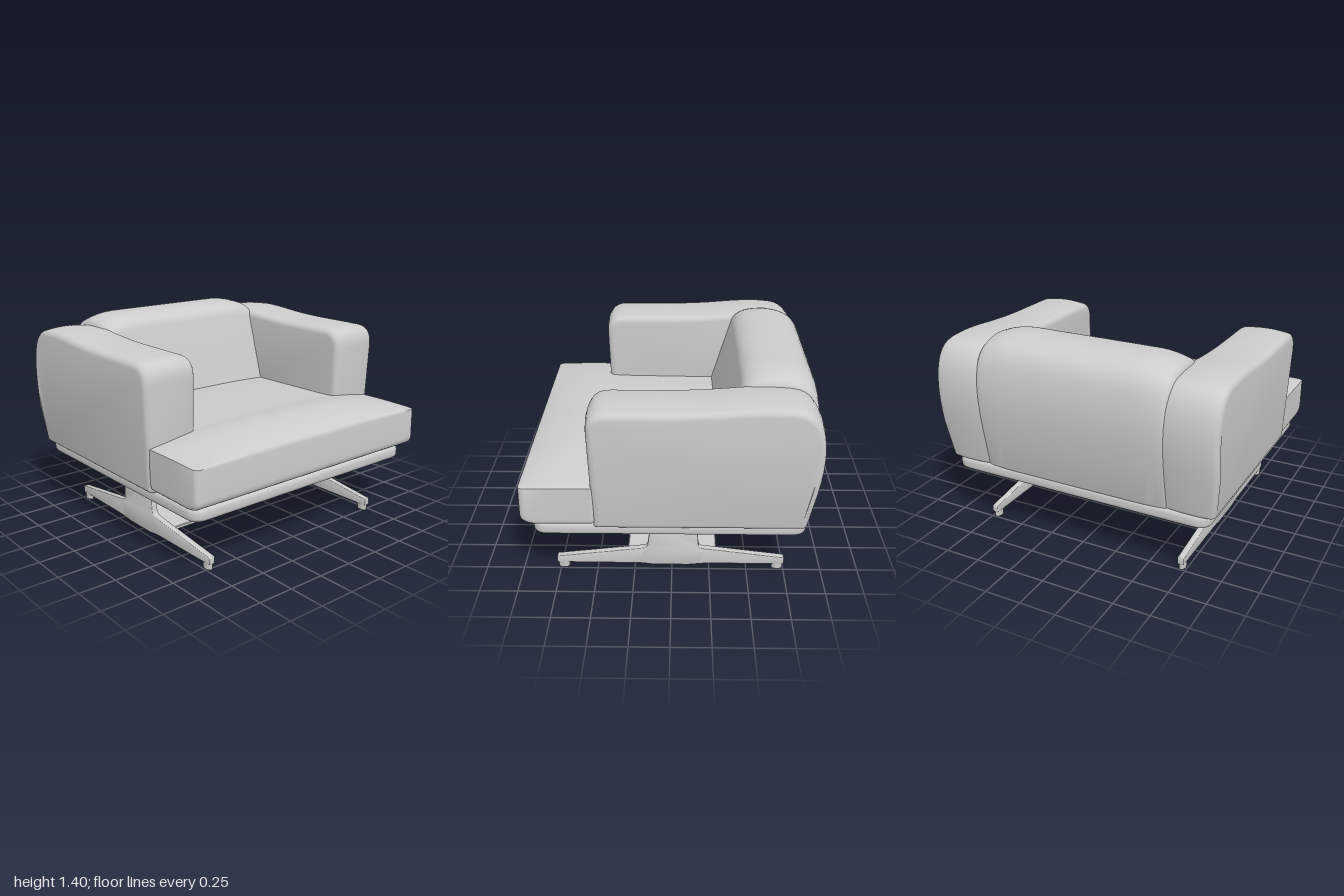
import * as THREE from 'three';
import { toCreasedNormals } from 'three/addons/utils/BufferGeometryUtils.js';

const grey = new THREE.MeshStandardMaterial({ color: 0xcccccc });
grey.name = 'light grey';

// Closed outline through corners [a, b, radius], each corner rounded
function roundedShape(pts) {
  const shape = new THREE.Shape();
  const n = pts.length;
  pts.forEach(([a, b, r = 0.03], i) => {
    const p = new THREE.Vector2(a, b);
    const toward = (q) => {
      const d = new THREE.Vector2(q[0], q[1]).sub(p);
      return d.clone().setLength(Math.min(r, d.length() * 0.48)).add(p);
    };
    const s = toward(pts[(i + n - 1) % n]);
    const e = toward(pts[(i + 1) % n]);
    if (i === 0) shape.moveTo(s.x, s.y); else shape.lineTo(s.x, s.y);
    shape.quadraticCurveTo(p.x, p.y, e.x, e.y);
  });
  shape.closePath();
  return shape;
}

function extrude(shape, depth, bevel, steps = 1, thickness = bevel, segments = 5) {
  const d = Math.max(depth - 2 * thickness, 0.001);
  const g = new THREE.ExtrudeGeometry(shape, {
    depth: d, steps, curveSegments: 6, bevelEnabled: bevel > 0,
    bevelSize: bevel, bevelOffset: -bevel, bevelThickness: thickness, bevelSegments: segments,
  });
  return g.translate(0, 0, -d / 2);
}

function finish(name, geometry, rule) {
  if (rule) {
    const pos = geometry.attributes.position;
    const v = new THREE.Vector3();
    for (let i = 0; i < pos.count; i++) {
      rule(v.fromBufferAttribute(pos, i));
      pos.setXYZ(i, v.x, v.y, v.z);
    }
  }
  const mesh = new THREE.Mesh(toCreasedNormals(geometry, 0.6), grey);
  mesh.name = name;
  return mesh;
}

// Side profile given as [z, y, radius], extruded across x around cx
function sidePart(name, profile, cx, width, bevel, steps, rule) {
  const shape = roundedShape(profile.map(([z, y, r]) => [-z, y, r]));
  const g = extrude(shape, width, bevel, steps).rotateY(Math.PI / 2).translate(cx, 0, 0);
  return finish(name, g, rule);
}

// Horizontal rounded plate between z0 and z1
function platePart(name, hx, z0, z1, radius, y, height, bevel, thickness, segments) {
  const shape = roundedShape([[-hx, -z1, radius], [hx, -z1, radius], [hx, -z0, radius], [-hx, -z0, radius]]);
  const g = extrude(shape, height, bevel, 1, thickness, segments).rotateX(-Math.PI / 2).translate(0, y, 0);
  return finish(name, g);
}

const clamp = THREE.MathUtils.clamp;

export function createModel() {
  const model = new THREE.Group();

  // Upholstered plinth with a bevelled underside
  model.add(platePart('baseFrame', 0.935, -0.86, 0.885, 0.1, 0.445, 0.09, 0.03, 0.03, 4));
  model.add(platePart('baseUnderside', 0.925, -0.845, 0.86, 0.09, 0.41, 0.12, 0.11, 0.06, 1));

  // Seat cushion: wide front and a narrower part between the arms, crowned across x
  const crown = (halfWidth, drop) => (v) => {
    const u = Math.min(1, Math.abs(v.x) / halfWidth);
    if (v.y > 0.765) v.y = 0.765 + (v.y - 0.765) * (1 - drop * u ** 3);
  };
  model.add(sidePart('seatFront', [
    [0.95, 0.53, 0.04], [0.945, 0.785, 0.03], [0.82, 0.83, 0.1], [0.64, 0.86, 0.14],
    [0.45, 0.835, 0.05], [0.47, 0.5, 0.04], [0.88, 0.495, 0.05],
  ], 0, 1.94, 0.035, 24, crown(0.97, 0.9)));
  model.add(sidePart('seatCushion', [
    [0.6, 0.51], [0.6, 0.848], [0.4, 0.83, 0.1], [-0.45, 0.815], [-0.45, 0.51],
  ], 0, 1.32, 0.01, 16, crown(0.97, 0.9)));

  // Backrest with a sloping front, curved rear and soft upper ends
  model.add(sidePart('backrest', [
    [-0.26, 0.7, 0.03], [-0.44, 1.34, 0.04], [-0.52, 1.395, 0.07], [-0.72, 1.41, 0.14],
    [-0.9, 1.33, 0.14], [-0.955, 1.0, 0.25], [-0.86, 0.47, 0.03], [-0.3, 0.47, 0.03],
  ], 0, 1.36, 0.04, 28, (v) => {
    const u = clamp((Math.abs(v.x) - 0.44) / 0.24, 0, 1);
    const upper = clamp((v.y - 0.9) / 0.45, 0, 1);
    v.y -= 0.05 * u * u * upper;
    if (v.z < -0.7) v.z += 0.015 * u * u;
  }));

  for (const s of [-1, 1]) {
    const side = s > 0 ? 'left' : 'right';

    // Padded arm, swelling slightly between its inner and outer faces
    model.add(sidePart(side + 'Arm', [
      [0.485, 0.475, 0.03], [0.505, 1.285, 0.13], [-0.15, 1.285, 0.2], [-0.6, 1.325, 0.25],
      [-0.86, 1.29, 0.17], [-0.935, 1.0, 0.3], [-0.84, 0.475, 0.03],
    ], s * 0.8125, 0.375, 0.035, 10, (v) => {
      const t = (v.x - s * 0.8125) / 0.1875;
      const k = 1 + 0.022 * (1 - t * t);
      v.z = -0.2 + (v.z + 0.2) * k;
      if (v.y > 0.9) v.y = 0.9 + (v.y - 0.9) * (k + 0.02 * (1 - t * t));
      if (t * s > 0) v.x -= s * 0.03 * t * s * clamp((0.75 - v.y) / 0.28, 0, 1);
    }));

    // Sled leg: flat blade with a central column
    const leg = new THREE.Group();
    leg.name = side + 'Leg';
    leg.add(sidePart('legBlade', [
      [0.775, 0.04, 0.01], [0.775, 0.09, 0.01], [0.165, 0.165, 0.03], [0.14, 0.36, 0.01],
      [-0.165, 0.36, 0.01], [-0.18, 0.165, 0.03], [-0.755, 0.09, 0.01], [-0.755, 0.04, 0.01],
      [-0.2, 0.037, 0.05], [-0.13, 0.026, 0.03], [0.13, 0.026, 0.03], [0.2, 0.037, 0.05],
    ], s * 0.72, 0.044, 0.006, 1));
    for (const z of [0.73, -0.71]) {
      const foot = finish('foot', new THREE.CylinderGeometry(0.04, 0.036, 0.044, 20));
      foot.scale.x = 0.6;
      foot.position.set(s * 0.72, 0.022, z);
      leg.add(foot);
    }
    model.add(leg);
  }

  // Thin stretcher plate joining the legs
  model.add(platePart('stretcher', 0.71, -0.3, 0.3, 0.02, 0.092, 0.024, 0.005, 0.005, 1));

  return model;
}
